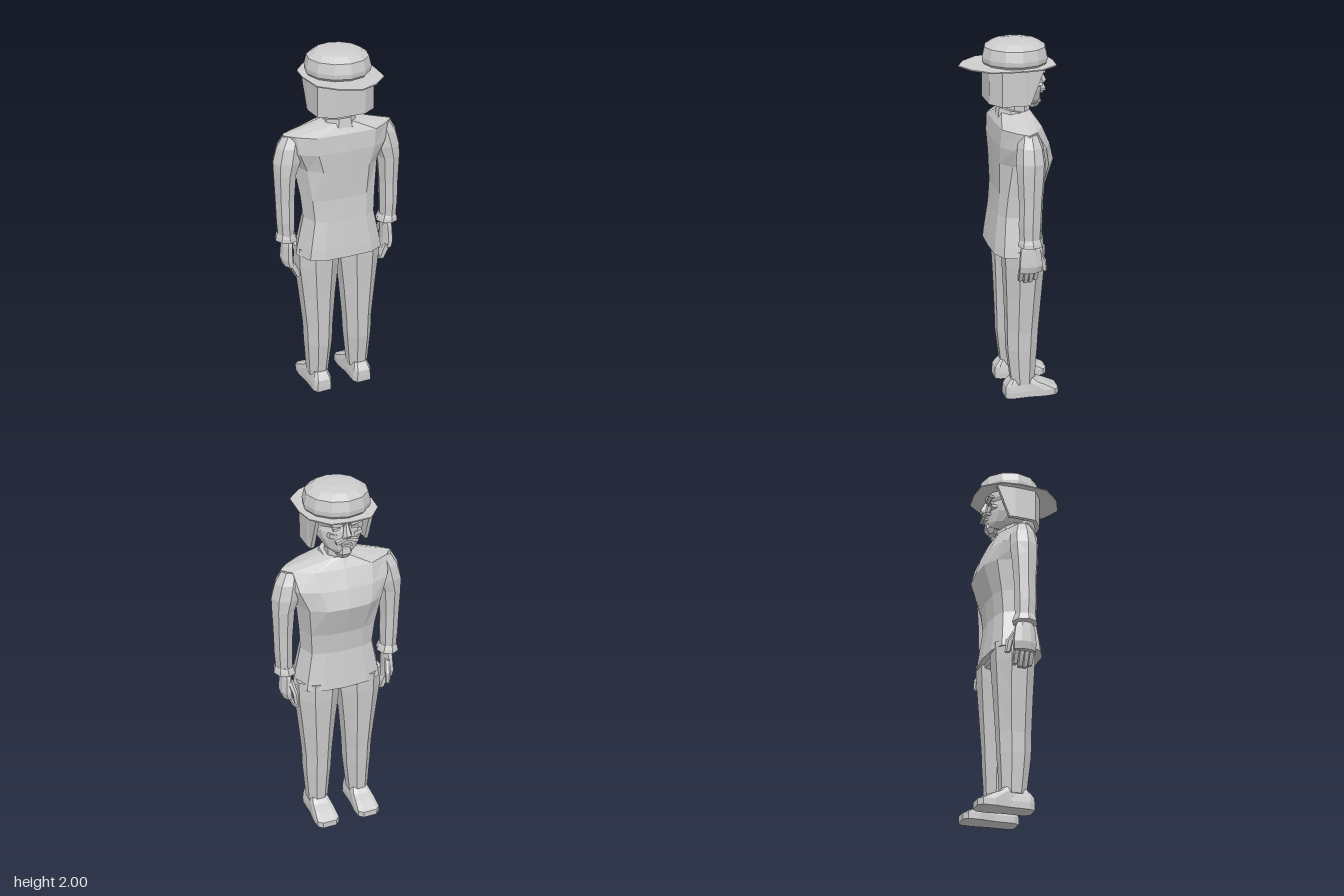
import * as THREE from 'three';

const grey = new THREE.MeshStandardMaterial({ color: 0xcccccc });
grey.name = 'light grey';
const greySheet = new THREE.MeshStandardMaterial({ color: 0xcccccc, side: THREE.DoubleSide });
greySheet.name = 'light grey sheet';

// Unit outlines [x, z], running from +z round through +x
const regular = (n, off = 0) => Array.from({ length: n }, (_, i) => {
  const t = ((i + off) / n) * Math.PI * 2;
  return [Math.sin(t), Math.cos(t)];
});
const oct = regular(8, 0.5).map(([x, z]) => [x * 1.08, z * 1.08]);
const mirrorHalf = (half) => [...half, ...half.slice(1, -1).reverse().map(([x, z]) => [-x, z])];
const body = (k) => mirrorHalf([[0, 1], [0.55, 0.97], [0.84, k], [1, 0], [0.84, -k], [0.5, -0.93], [0, -1]]);

// Facetted skin over closed rings of points, listed bottom to top, with end caps
function skin(rings) {
  const pos = [];
  const tri = (a, b, c) => pos.push(...a, ...b, ...c);
  const n = rings[0].length;
  for (let r = 0; r < rings.length - 1; r++) {
    for (let j = 0; j < n; j++) {
      const k = (j + 1) % n;
      tri(rings[r][j], rings[r][k], rings[r + 1][k]);
      tri(rings[r][j], rings[r + 1][k], rings[r + 1][j]);
    }
  }
  const cap = (ring, up) => {
    const c = [0, 1, 2].map((i) => ring.reduce((s, p) => s + p[i], 0) / n);
    ring.forEach((p, j) => (up ? tri(c, p, ring[(j + 1) % n]) : tri(c, ring[(j + 1) % n], p)));
  };
  cap(rings[0], false);
  cap(rings[rings.length - 1], true);
  const g = new THREE.BufferGeometry();
  g.setAttribute('position', new THREE.Float32BufferAttribute(pos, 3));
  g.computeVertexNormals();
  return g;
}
// Rows: [y, centre x, half width, z at +z side, z at -z side, outline?]
const loft = (rows, outline, tilt = 0) => skin(rows.map(([y, cx, w, zb, zf, own]) =>
  (own || outline).map(([x, z]) => {
    const pz = (zb + zf) / 2 + (z * (zb - zf)) / 2;
    return [cx + x * w, y + tilt * pz, pz];
  })));

const flat = (g) => {
  const f = g.index ? g.toNonIndexed() : g;
  f.computeVertexNormals();
  return f;
};
const box = (w, h, d, x, y, z, rx = 0, rz = 0) =>
  flat(new THREE.BoxGeometry(w, h, d)).rotateX(rx).rotateZ(rz).translate(x, y, z);

// Mirrored copy across x, with corner order put right
function flip(g) {
  const m = flat(g.clone());
  const p = m.attributes.position;
  for (let i = 0; i < p.count; i += 3) {
    const v = [0, 2, 1].map((k) => [-p.getX(i + k), p.getY(i + k), p.getZ(i + k)]);
    v.forEach((q, k) => p.setXYZ(i + k, ...q));
  }
  m.computeVertexNormals();
  return m;
}

export function createModel() {
  const model = new THREE.Group();
  model.name = 'standingFigure';
  const add = (name, g, mat = grey) => {
    const m = new THREE.Mesh(g, mat);
    m.name = name;
    model.add(m);
  };
  const pair = (name, g) => {
    add(name + 'Left', g);
    add(name + 'Right', flip(g));
  };

  // Jacket: flared hem, waist, chest and sloping shoulders
  const trunk = body(0.72), chest = body(0.62), shoulder = body(0.45);
  add('jacket', loft([
    [0.865, 0, 0.25, 0.105, -0.192, trunk],
    [0.92, 0, 0.24, 0.1, -0.185, trunk],
    [1.08, 0, 0.205, 0.08, -0.165, trunk],
    [1.2, 0, 0.215, 0.07, -0.178, trunk],
    [1.37, 0, 0.24, 0.075, -0.235, chest],
    [1.47, 0, 0.29, 0.078, -0.205, chest],
    [1.565, 0, 0.31, 0.07, -0.16, shoulder],
    [1.62, 0, 0.085, 0.04, -0.125, shoulder],
  ]));
  add('collar', loft([
    [1.575, 0, 0.095, 0.055, -0.135],
    [1.635, 0, 0.08, 0.045, -0.125],
  ], oct, 0.22));
  add('neck', loft([[1.56, 0, 0.06, 0.01, -0.12], [1.72, 0, 0.06, 0.01, -0.12]], oct));

  // Sleeves and cuffs
  pair('sleeve', loft([
    [0.99, 0.303, 0.045, 0.005, -0.11],
    [1.08, 0.305, 0.05, 0.012, -0.115],
    [1.2, 0.305, 0.053, 0.01, -0.118],
    [1.35, 0.302, 0.062, 0.02, -0.13],
    [1.42, 0.288, 0.078, 0.022, -0.135],
    [1.5, 0.27, 0.075, 0.012, -0.125],
    [1.562, 0.25, 0.058, -0.01, -0.1],
  ], regular(8)));
  pair('cuff', loft([
    [0.965, 0.3, 0.062, 0.015, -0.125],
    [0.985, 0.302, 0.056, 0.012, -0.12],
    [1.005, 0.303, 0.047, 0.005, -0.112],
  ], regular(8)));

  // Hands with curled fingers
  pair('palm', loft([
    [0.81, 0.292, 0.027, 0.004, -0.112],
    [0.85, 0.3, 0.03, 0.004, -0.118],
    [0.935, 0.297, 0.027, -0.002, -0.108],
    [0.98, 0.292, 0.026, -0.02, -0.09],
  ], oct));
  for (let i = 0; i < 4; i++) {
    const z = -0.012 - i * 0.027;
    const drop = i === 0 || i === 3 ? 0.012 : 0;
    pair('finger' + i, loft([
      [0.735 + drop, 0.25, 0.011, z + 0.01, z - 0.01],
      [0.775 + drop, 0.266, 0.015, z + 0.012, z - 0.012],
      [0.83, 0.286, 0.018, z + 0.013, z - 0.013],
    ], regular(4, 0.5).map(([x, q]) => [x * 1.3, q * 1.3])));
  }
  pair('thumb', loft([
    [0.8, 0.268, 0.013, -0.125, -0.155],
    [0.86, 0.272, 0.016, -0.11, -0.15],
    [0.92, 0.285, 0.018, -0.075, -0.115],
  ], regular(6)));

  // Trousers
  pair('trouserLeg', loft([
    [0.08, 0.124, 0.056, 0.005, -0.125],
    [0.22, 0.122, 0.067, 0.022, -0.132],
    [0.29, 0.121, 0.073, 0.03, -0.137],
    [0.4, 0.12, 0.077, 0.032, -0.142],
    [0.6, 0.122, 0.095, 0.038, -0.155],
    [0.79, 0.122, 0.116, 0.046, -0.168],
    [0.9, 0.12, 0.12, 0.05, -0.172],
  ], oct));
  add('trouserSeat', loft([
    [0.815, 0, 0.03, 0.01, -0.12],
    [0.845, 0, 0.14, 0.035, -0.155],
    [0.9, 0, 0.2, 0.045, -0.165],
  ], oct));

  // Shoes: long soles with uppers rising to the ankle
  const sole = mirrorHalf([[0, 1], [0.6, 1], [0.85, 0.8], [0.85, 0.1], [1, -0.45], [0.95, -0.85], [0.6, -1], [0, -1]]);
  pair('shoe', loft([
    [0, 0.124, 0.067, 0.045, -0.257],
    [0.035, 0.124, 0.067, 0.045, -0.257],
    [0.068, 0.124, 0.06, 0.042, -0.195],
    [0.085, 0.124, 0.055, 0.03, -0.15],
    [0.11, 0.124, 0.045, 0.01, -0.12],
  ], sole, 0).translate(0, 0, 0));

  // Head and facial features, looking towards -z
  add('head', loft([
    [1.655, 0, 0.045, -0.08, -0.172],
    [1.685, 0, 0.085, -0.03, -0.18],
    [1.74, 0, 0.118, 0.03, -0.184],
    [1.785, 0, 0.132, 0.06, -0.18],
    [1.81, 0, 0.132, 0.065, -0.172],
    [1.83, 0, 0.134, 0.065, -0.186],
    [1.88, 0, 0.132, 0.06, -0.18],
  ], regular(12)));
  add('nose', loft([
    [1.757, 0, 0.026, -0.16, -0.205],
    [1.772, 0, 0.024, -0.16, -0.217],
    [1.83, 0, 0.011, -0.16, -0.188],
  ], regular(6, 0.5)));
  pair('brow', box(0.062, 0.014, 0.03, 0.052, 1.83, -0.172, 0, 0.18));
  pair('eye', box(0.036, 0.014, 0.02, 0.05, 1.802, -0.165));
  pair('cheek', box(0.045, 0.022, 0.03, 0.068, 1.765, -0.157, 0, 0.3));
  pair('moustache', box(0.06, 0.016, 0.03, 0.03, 1.742, -0.181, 0, -0.3));
  add('lowerLip', box(0.055, 0.012, 0.03, 0, 1.713, -0.177));
  add('chin', loft([
    [1.632, 0, 0.03, -0.12, -0.165],
    [1.66, 0, 0.048, -0.1, -0.188],
    [1.69, 0, 0.045, -0.1, -0.184],
  ], regular(6, 0.5)));

  // Hair: a shell open at the face, with slanted front edges
  const outer = [[0.158, -0.165], [0.165, -0.06], [0.16, 0.06], [0.085, 0.112]];
  const inner = [[0.07, 0.09], [0.138, 0.05], [0.143, -0.06], [0.138, -0.165]];
  const half = [...outer, ...outer.slice().reverse().map(([x, z]) => [-x, z])];
  const back = inner.slice().reverse().map(([x, z]) => [-x, z]);
  const outline = [...half, ...back, ...inner].map(([x, z]) => new THREE.Vector2(x, -z));
  const hair = new THREE.ExtrudeGeometry(new THREE.Shape(outline), { depth: 0.192, bevelEnabled: false });
  hair.rotateX(-Math.PI / 2).translate(0, 1.68, 0);
  const hp = hair.attributes.position;
  for (let i = 0; i < hp.count; i++) {
    if (hp.getZ(i) < -0.1 && hp.getY(i) < 1.7) hp.setZ(i, -0.09);
  }
  add('hair', flat(hair));

  // Hat crown and thin brim
  add('hatCrown', loft([
    [1.87, 0.16], [1.885, 0.173], [1.91, 0.175], [1.963, 0.162], [1.99, 0.122], [2, 0.056],
  ].map(([y, r]) => [y, 0, r, r - 0.045, -r - 0.045]), regular(12)));
  const brim = mirrorHalf([[0, 0.255], [0.1, 0.21], [0.187, 0.12], [0.2, -0.04], [0.186, -0.145], [0.11, -0.24], [0, -0.252]]);
  const brimShape = new THREE.Shape(brim.map(([x, z]) => new THREE.Vector2(x, -z)));
  add('hatBrim', flat(new THREE.ExtrudeGeometry(brimShape, { depth: 0.006, bevelEnabled: false }))
    .rotateX(-Math.PI / 2).translate(0, 1.867, 0), greySheet);

  return model;
}
